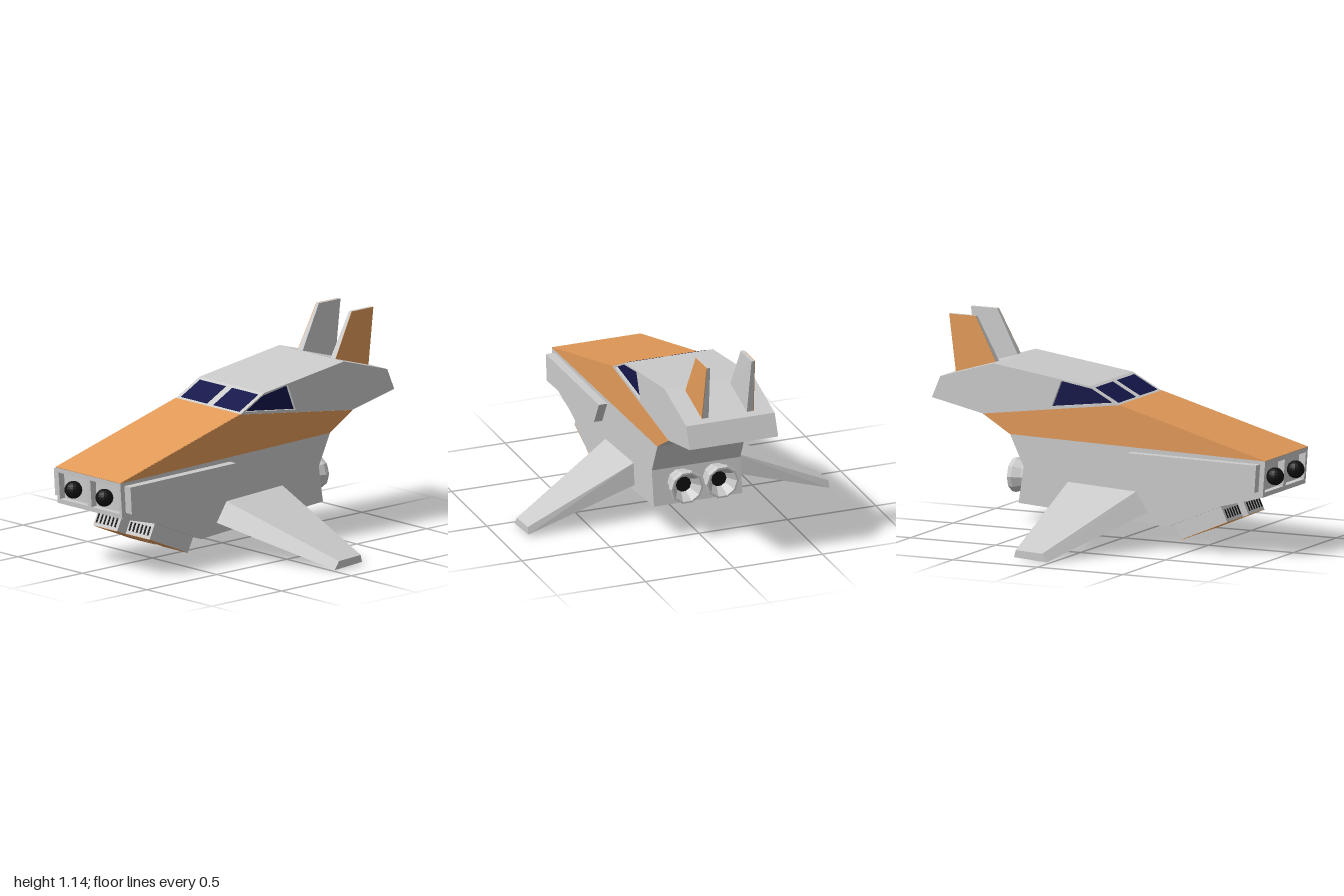
import * as THREE from 'three';
import { ConvexGeometry } from 'three/addons/geometries/ConvexGeometry.js';

const mat = (color) => new THREE.MeshStandardMaterial({ color, flatShading: true });
const grey = mat(0xcccccc);
const orange = mat(0xe29a58);
const navy = mat(0x14164a);
const black = mat(0x111111);

export function createModel() {
  const group = new THREE.Group();

  const add = (name, geometry, material = grey) => {
    const mesh = new THREE.Mesh(geometry, material);
    mesh.name = name;
    group.add(mesh);
    return mesh;
  };

  // Side-view outline [x, y] given thickness from z0 to z1
  const slab = (name, points, z0, z1, material, hole) => {
    const toVectors = (list) => list.map(([x, y]) => new THREE.Vector2(x, y));
    const shape = new THREE.Shape(toVectors(points));
    if (hole) shape.holes.push(new THREE.Path(toVectors(hole)));
    const geometry = new THREE.ExtrudeGeometry(shape, { depth: Math.abs(z1 - z0), bevelEnabled: false });
    geometry.translate(0, 0, Math.min(z0, z1));
    return add(name, geometry, material);
  };

  // Convex solid from [x, y, z] corners, on side s
  const solid = (name, corners, s, material) =>
    add(name, new ConvexGeometry(corners.map(([x, y, z]) => new THREE.Vector3(x, y, z * s))), material);

  // Hull: core set back at the nose, with full-length side skins
  const W = 0.25, SKIN = 0.23;
  const noseTop = [-0.96, 0.525], noseBottom = [-0.945, 0.33];
  const body = [
    [-0.70, 0.265], [-0.38, 0.13], [0.22, 0.172], [0.49, 0.19], [0.46, 0.385], [0.54, 0.553],
    [0.70, 0.65], [1.0, 0.714], [0.95, 0.83], [0.64, 0.922], [0.07, 0.845], [-0.10, 0.757],
  ];
  const sideWindow = [[-0.065, 0.766], [0.06, 0.832], [0.24, 0.86], [0.295, 0.72]];
  slab('hullCore', [[-0.92, 0.536], [-0.91, 0.321], ...body], -SKIN, SKIN);

  // Nose frame around two recessed bays
  slab('noseUpperLip', [noseTop, [-0.9, 0.541], [-0.9, 0.5], [-0.958, 0.5]], -SKIN, SKIN);
  slab('noseLowerLip', [noseBottom, [-0.9, 0.318], [-0.9, 0.355], [-0.947, 0.355]], -SKIN, SKIN);
  slab('noseDivider', [noseTop, [-0.9, 0.541], [-0.9, 0.318], noseBottom], -0.015, 0.015);

  // Orange nose deck
  slab('noseDeck', [noseTop, [-0.10, 0.757], [-0.101, 0.759], [-0.961, 0.527]], -W, W, orange);

  for (const s of [1, -1]) {
    slab('hullSide', [noseTop, noseBottom, ...body], SKIN * s, W * s, grey, sideWindow);
    slab('sideWindow', sideWindow, 0.228 * s, 0.234 * s, navy);
    slab('sideStripe', [noseTop, [-0.10, 0.757], [0.70, 0.65], [0.54, 0.553]], 0.249 * s, 0.2515 * s, orange);

    // Windscreen pane lying on the slope ahead of the roof
    slab('windscreen', [[-0.085, 0.764], [0.05, 0.834], [0.049, 0.837], [-0.086, 0.767]],
      0.025 * s, 0.225 * s, navy);

    // Long fairing along the nose
    slab('sideFairing', [[-0.93, 0.507], [-0.175, 0.515], [-0.245, 0.39], [-0.92, 0.36]], W * s, 0.297 * s);

    // Nose cannon ball
    const ball = add('noseBall', new THREE.SphereGeometry(0.047, 16, 12), black);
    ball.position.set(-0.953, 0.425, 0.12 * s);

    // Swept, drooping wing
    solid('wing', [
      [-0.27, 0.2, 0.25], [-0.2, 0.305, 0.25], [0.2, 0.325, 0.25], [0.215, 0.205, 0.25],
      [0.02, 0.003, 0.85], [0.05, 0.047, 0.85], [0.205, 0.055, 0.85], [0.215, 0.016, 0.85],
    ], s);

    // Tail fin tapering towards its tip, with an orange outer face
    const finSide = (base, tip) => [
      [0.67, 0.9, base], [0.91, 0.835, base], [0.955, 1.145, tip], [0.80, 1.145, tip],
    ];
    solid('tailFin', [...finSide(0.108, 0.117), ...finSide(0.145, 0.135)], s);
    solid('tailFinPanel', [...finSide(0.144, 0.134), ...finSide(0.147, 0.137)], s, orange);

    // Intake box under the nose, with orange underside and a slatted front
    slab('bellyIntake', [[-0.68, 0.265], [-0.72, 0.178], [-0.447, 0.063], [-0.40, 0.16]], 0.033 * s, 0.218 * s);
    slab('intakeUnderside', [[-0.72, 0.178], [-0.447, 0.063], [-0.448, 0.061], [-0.721, 0.176]],
      0.033 * s, 0.218 * s, orange);
    for (let i = 0; i < 6; i++) {
      const z = 0.05 + i * 0.0285;
      slab('intakeSlot', [[-0.695, 0.24], [-0.715, 0.195], [-0.718, 0.196], [-0.698, 0.241]],
        z * s, (z + 0.01) * s, black);
    }

    // Engine bell with a dark throat
    const bell = [[0.055, 0.45], [0.07, 0.48], [0.078, 0.52], [0.094, 0.565], [0.09, 0.59],
      [0.08, 0.59], [0.042, 0.53], [0, 0.53]].map(([r, h]) => new THREE.Vector2(r, h));
    const nozzle = add('engineNozzle', new THREE.LatheGeometry(bell, 10));
    nozzle.rotation.z = -Math.PI / 2;
    nozzle.position.set(0, 0.312, 0.1 * s);
    const throat = add('engineThroat', new THREE.CircleGeometry(0.043, 10), black);
    throat.rotation.y = Math.PI / 2;
    throat.position.set(0.533, 0.312, 0.1 * s);
  }

  return group;
}
